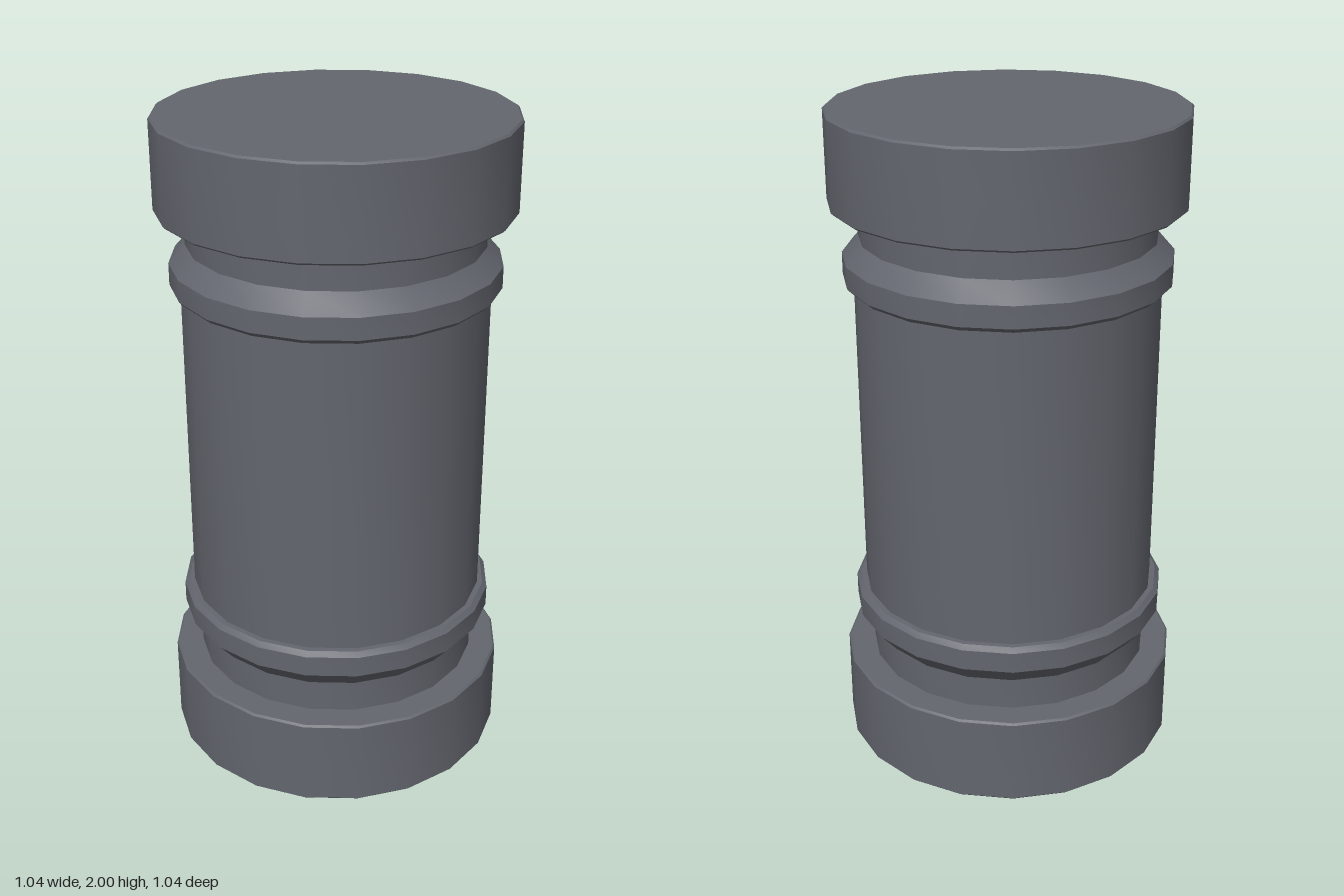
import * as THREE from 'three';
import { toCreasedNormals } from 'three/addons/utils/BufferGeometryUtils.js';

const SIDES = 20;

export function createModel() {
  const model = new THREE.Group();
  model.name = 'column';
  const slate = new THREE.MeshStandardMaterial({ color: 0x63666e });
  slate.name = 'slateGrey';

  // Turned part from a [radius, height] profile running bottom to top
  const turn = (name, profile) => {
    const points = profile.map(([r, y]) => new THREE.Vector2(r, y));
    const geometry = toCreasedNormals(new THREE.LatheGeometry(points, SIDES), 0.5);
    const mesh = new THREE.Mesh(geometry, slate);
    mesh.name = name;
    model.add(mesh);
  };

  // End caps with a fine bevel on both rims
  const cap = (name, y0, y1) => {
    const r = 0.522, b = 0.006;
    turn(name, [[0, y0], [r - b, y0], [r, y0 + b], [r, y1 - b], [r - b, y1], [0, y1]]);
  };
  cap('bottomCap', 0, 0.277);
  cap('topCap', 1.73, 2);

  // Main shaft and the narrower necks next to the caps
  turn('shaft', [[0.455, 0.5], [0.455, 1.51]]);
  turn('bottomNeck', [[0.437, 0.27], [0.437, 0.4]]);
  turn('topNeck', [[0.437, 1.6], [0.437, 1.74]]);

  // Collars: long slope toward the neck, short bevel toward the shaft
  turn('bottomCollar', [[0.437, 0.376], [0.486, 0.435], [0.486, 0.5], [0.472, 0.514], [0.45, 0.514]]);
  turn('topCollar', [[0.45, 1.496], [0.472, 1.496], [0.486, 1.51], [0.486, 1.575], [0.437, 1.63]]);

  return model;
}
